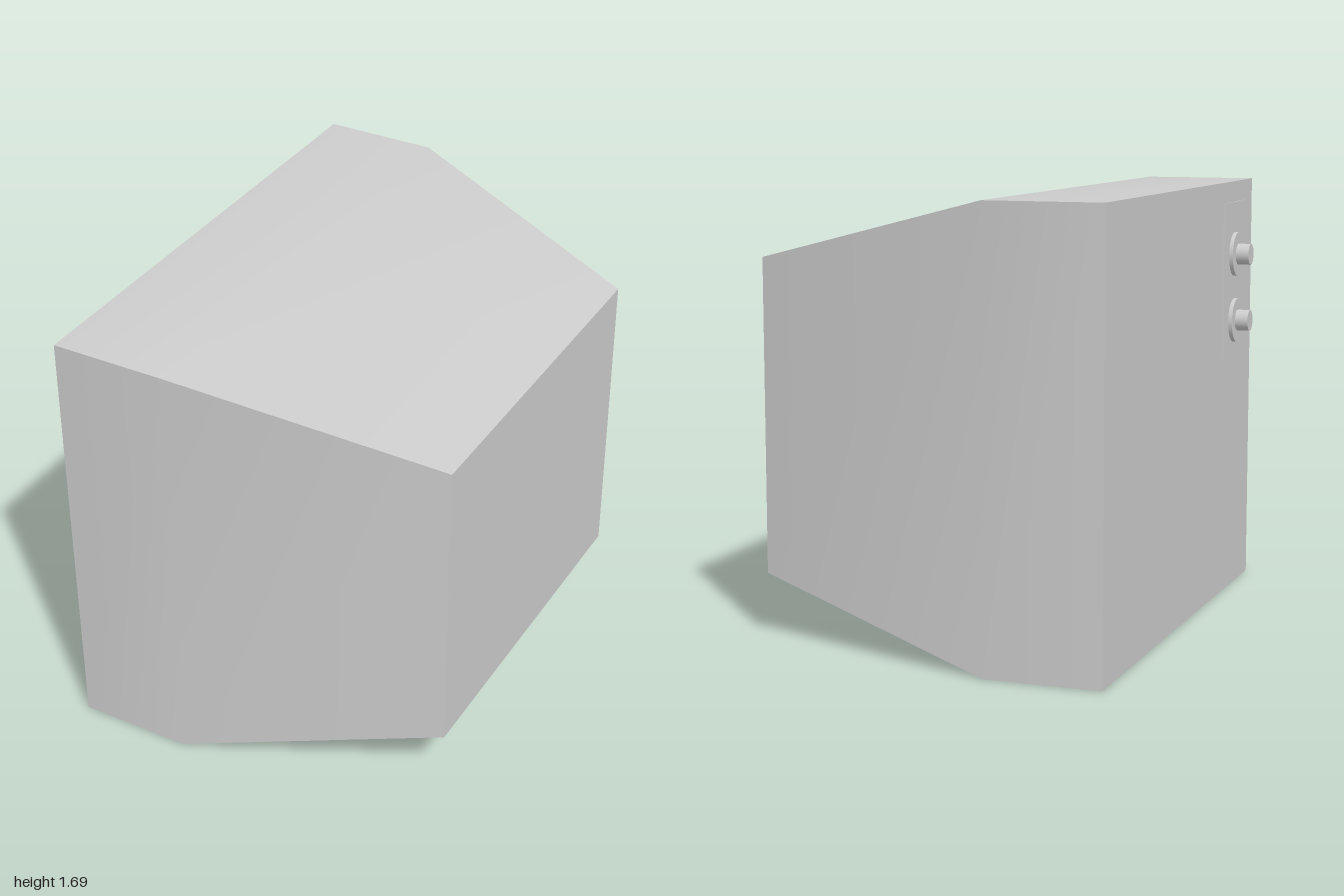
import * as THREE from 'three';
import { toCreasedNormals } from 'three/addons/utils/BufferGeometryUtils.js';

const material = new THREE.MeshStandardMaterial({ color: 0xcccccc });
const FACE_X = -0.684;
const HEIGHT = 1.694;

function addMesh(parent, name, geometry, x, y, z) {
  const mesh = new THREE.Mesh(geometry, material);
  mesh.name = name;
  mesh.position.set(x, y, z);
  parent.add(mesh);
  return mesh;
}

// Casing: straight behind the face, then tapering to a smaller rear wall
function casingGeometry() {
  const sections = [
    { x: FACE_X, h: HEIGHT, d: 2 },
    { x: -0.235, h: HEIGHT, d: 2 },
    { x: 0.752, h: 1.206, d: 1.428 },
  ];
  const geometry = new THREE.BoxGeometry(2, 1, 1, 2, 1, 1);
  const p = geometry.attributes.position;
  for (let i = 0; i < p.count; i++) {
    const s = sections[Math.round(p.getX(i)) + 1];
    p.setXYZ(i, s.x, p.getY(i) * s.h, p.getZ(i) * s.d);
  }
  return toCreasedNormals(geometry, Math.PI / 6);
}

// Round knob on a wide collar, pointing out of the face
function createKnob(name, y, z) {
  const knob = new THREE.Group();
  knob.name = name;
  knob.position.set(FACE_X, y, z);
  knob.rotation.z = Math.PI / 2;
  addMesh(knob, 'collar', new THREE.CylinderGeometry(0.09, 0.09, 0.02, 32), 0, 0.01, 0);
  addMesh(knob, 'knobStem', new THREE.CylinderGeometry(0.043, 0.043, 0.054, 32), 0, 0.046, 0);
  return knob;
}

export function createModel() {
  const model = new THREE.Group();
  model.name = 'television';
  addMesh(model, 'casing', casingGeometry(), 0, HEIGHT / 2, 0);

  // Control plate, barely proud of the face
  addMesh(model, 'controlPlate', new THREE.BoxGeometry(0.008, 0.63, 0.34), FACE_X, 1.295, 0.718);
  model.add(createKnob('upperKnob', 1.395, 0.715));
  model.add(createKnob('lowerKnob', 1.122, 0.715));
  return model;
}
